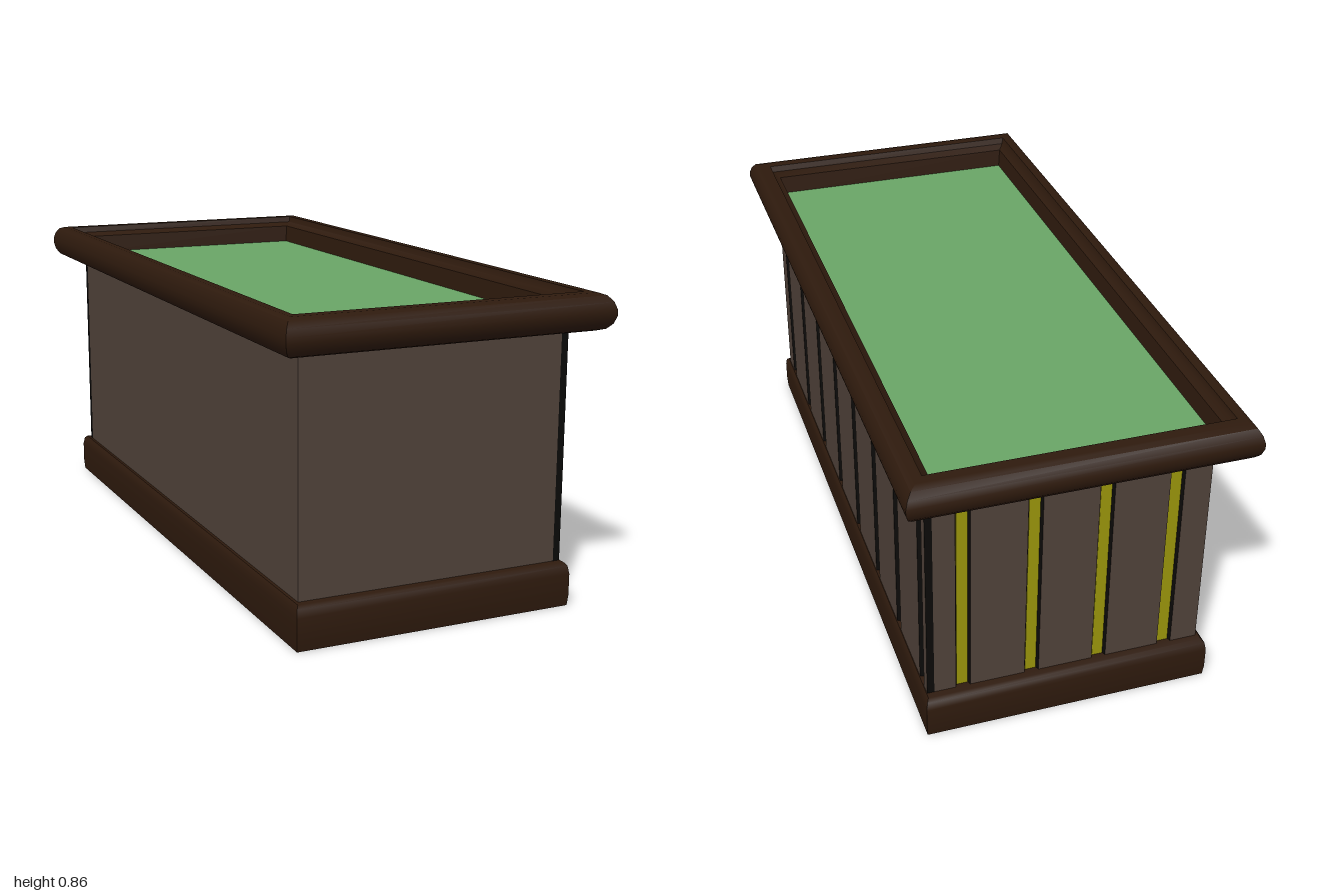
import * as THREE from 'three';
import { toCreasedNormals } from 'three/addons/utils/BufferGeometryUtils.js';

const mat = (color) => new THREE.MeshStandardMaterial({ color, side: THREE.DoubleSide });
const wood = mat(0x2e1a0d), panel = mat(0x51433a), dark = mat(0x0b0a09);
const yellow = mat(0x9c960c), felt = mat(0x6aa666);

function add(parent, name, geometry, material, x = 0, y = 0, z = 0) {
  const mesh = new THREE.Mesh(geometry, material);
  mesh.name = name;
  mesh.position.set(x, y, z);
  parent.add(mesh);
  return mesh;
}

// Mitred rectangular moulding: profile points are [t, y], where t runs from
// the inner rectangle (0) to the outer one (1); rectangles are [x0, x1, z0, z1]
function moulding(inner, outer, profile) {
  const corner = ([t, y], k) => {
    const r = inner.map((v, i) => v + (outer[i] - v) * t);
    return [[r[0], y, r[3]], [r[1], y, r[3]], [r[1], y, r[2]], [r[0], y, r[2]]][k % 4];
  };
  const pos = [];
  for (let k = 0; k < 4; k++) {
    for (let i = 0; i < profile.length - 1; i++) {
      const a = corner(profile[i], k), b = corner(profile[i], k + 1);
      const c = corner(profile[i + 1], k + 1), d = corner(profile[i + 1], k);
      pos.push(...a, ...b, ...c, ...a, ...c, ...d);
    }
  }
  const g = new THREE.BufferGeometry();
  g.setAttribute('position', new THREE.Float32BufferAttribute(pos, 3));
  return toCreasedNormals(g, 0.75);
}

// Plank wall facing local +z, with dark bevelled edges and yellow strips in the gaps
function plankWall(name, start, end, gaps) {
  const wall = new THREE.Group();
  wall.name = name;
  const y0 = 0.1, y1 = 0.75, depth = 0.02, half = 0.012, bevel = 0.008;
  const edges = [start, ...gaps.flatMap((u) => [u - half, u + half]), end];
  for (let i = 0; i < edges.length; i += 2) {
    const w = edges[i + 1] - edges[i];
    const g = new THREE.BoxGeometry(w, y1 - y0, depth);
    const p = g.attributes.position;
    // Narrow the outer face to bevel the sides facing a gap
    for (let v = 0; v < p.count; v++) {
      const s = Math.sign(p.getX(v));
      const outerEnd = s < 0 ? i === 0 : i === edges.length - 2;
      if (p.getZ(v) > 0 && !outerEnd) p.setX(v, s * (w / 2 - bevel));
    }
    g.computeVertexNormals();
    add(wall, 'plank', g, [dark, dark, dark, dark, panel, panel],
      (edges[i] + edges[i + 1]) / 2, (y0 + y1) / 2, -depth / 2);
  }
  for (const u of gaps) {
    add(wall, 'gapStrip', new THREE.BoxGeometry(0.03, 0.66, 0.008), yellow, u, 0.43, -0.014);
  }
  return wall;
}

export function createModel() {
  const model = new THREE.Group();
  model.name = 'table';

  // Plain front and left walls
  add(model, 'frontWall', new THREE.BoxGeometry(0.755, 0.67, 0.01), panel, -0.0075, 0.435, 0.885);
  add(model, 'leftWall', new THREE.BoxGeometry(0.01, 0.67, 1.76), panel, -0.38, 0.435, 0);

  // Planked side wall and back wall
  const sideGaps = Array.from({ length: 8 }, (_, i) => -0.803 + i * 0.2347);
  const side = plankWall('plankSideWall', -0.89, 0.89, sideGaps);
  side.rotation.y = Math.PI / 2;
  side.position.x = 0.39;
  model.add(side);

  const backGaps = Array.from({ length: 4 }, (_, i) => -0.29 + i * 0.193);
  const back = plankWall('plankBackWall', -0.37, 0.385, backGaps);
  back.rotation.y = Math.PI;
  back.position.z = -0.89;
  model.add(back);

  // Base skirting, an open shell rounded at the top
  add(model, 'baseMoulding', moulding([-0.37, 0.37, -0.87, 0.87], [-0.404, 0.401, -0.925, 0.925], [
    [0.93, 0], [1, 0.03], [1, 0.09], [0.9, 0.112], [0.7, 0.12], [0, 0.12],
  ]), wood);

  // Raised rounded rim around the top
  add(model, 'topRim', moulding([-0.39, 0.37, -0.89, 0.89], [-0.466, 0.463, -1, 1], [
    [0, 0.76], [0.6, 0.76], [0.8, 0.767], [0.93, 0.782], [1, 0.803], [1, 0.818],
    [0.93, 0.838], [0.8, 0.854], [0.62, 0.86], [0.36, 0.86], [0.3, 0.842], [0.08, 0.83], [0, 0.775],
  ]), wood);

  // Recessed playing surface
  const top = add(model, 'tableTop', new THREE.PlaneGeometry(0.76, 1.78), felt, -0.01, 0.777, 0);
  top.rotation.x = -Math.PI / 2;

  return model;
}
